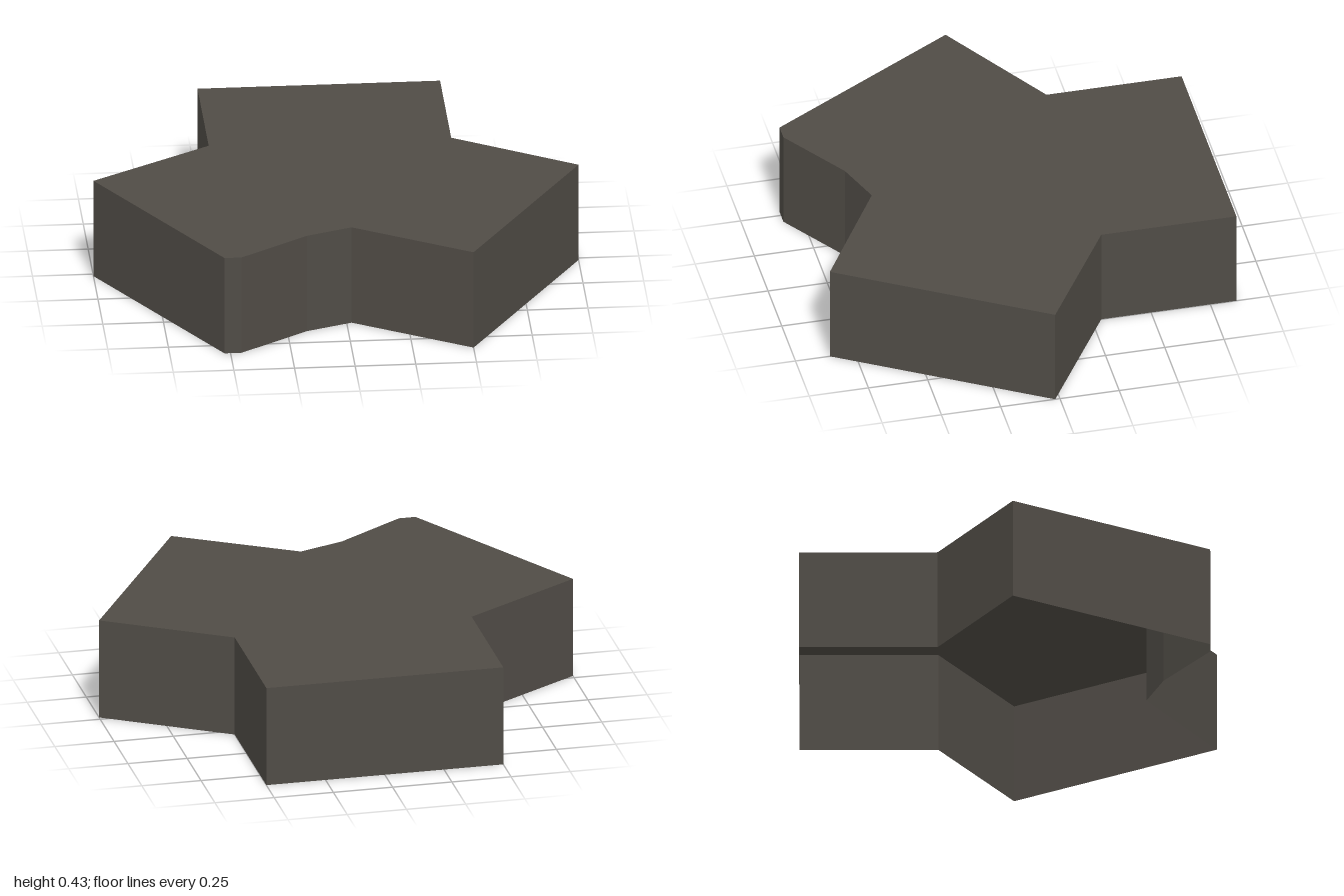
import * as THREE from 'three';

const HEIGHT = 0.43;

// Three-armed outline as [x, z], counter-clockwise seen from above
const OUTLINE = [
  [0.5, -0.86], [-0.5, -0.86], [-0.5, -0.29], [-1, 0.02],
  [-0.525, 0.83], [-0.455, 0.83], [-0.17, 0.637], [0.02, 0.567],
  [0.5, 0.855], [1, 0.02], [0.5, -0.29],
];

// One flat quad per outline edge, from the ground to the roof
function wallGeometry() {
  const positions = [];
  OUTLINE.forEach(([ax, az], i) => {
    const [bx, bz] = OUTLINE[(i + 1) % OUTLINE.length];
    positions.push(
      ax, 0, az, bx, 0, bz, bx, HEIGHT, bz,
      ax, 0, az, bx, HEIGHT, bz, ax, HEIGHT, az,
    );
  });
  const geometry = new THREE.BufferGeometry();
  geometry.setAttribute('position', new THREE.Float32BufferAttribute(positions, 3));
  geometry.computeVertexNormals();
  return geometry;
}

export function createModel() {
  const group = new THREE.Group();
  group.name = 'threeArmedShell';

  const stone = new THREE.MeshStandardMaterial({ color: 0x504c46, side: THREE.DoubleSide });
  stone.name = 'dark stone';

  // Flat roof
  const shape = new THREE.Shape(OUTLINE.map(([x, z]) => new THREE.Vector2(x, -z)));
  const roof = new THREE.Mesh(new THREE.ShapeGeometry(shape).rotateX(-Math.PI / 2), stone);
  roof.position.y = HEIGHT;
  roof.name = 'roof';

  // Thin outer walls, open underneath
  const walls = new THREE.Mesh(wallGeometry(), stone);
  walls.name = 'walls';

  group.add(roof, walls);
  return group;
}
